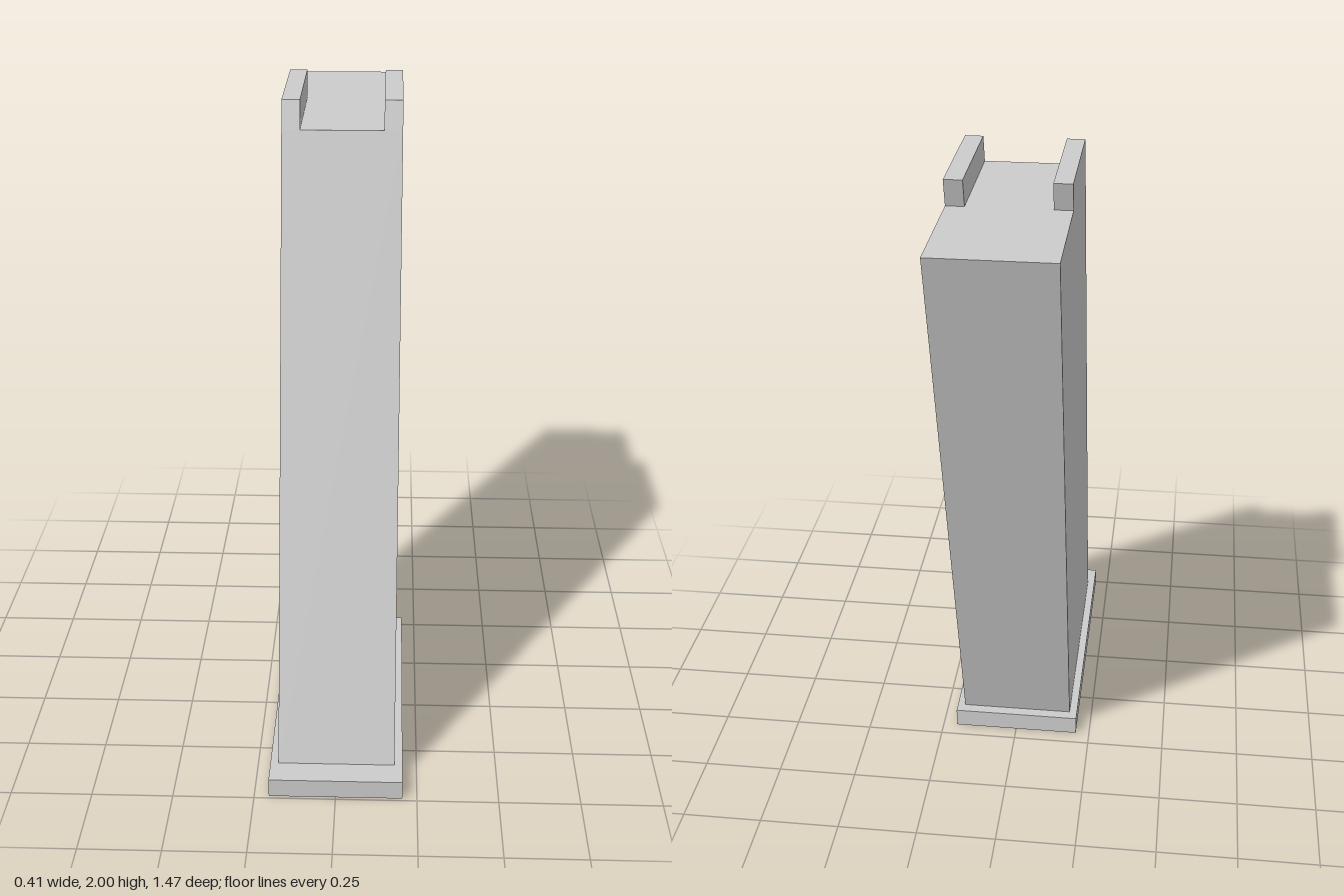
import * as THREE from 'three';

export function createModel() {
  const model = new THREE.Group();
  const grey = new THREE.MeshStandardMaterial({ color: 0xcccccc });
  grey.name = 'light grey';

  const add = (name, geometry) => {
    const mesh = new THREE.Mesh(geometry, grey);
    mesh.name = name;
    model.add(mesh);
    return mesh;
  };

  // Extrude a [z, y] side profile across x, centred on x = 0
  const sideExtrude = (points, width) => {
    const shape = new THREE.Shape(points.map(([z, y]) => new THREE.Vector2(z, y)));
    return new THREE.ExtrudeGeometry(shape, { depth: width, bevelEnabled: false })
      .translate(0, 0, -width / 2)
      .rotateY(-Math.PI / 2);
  };

  const baseTop = 0.06, deck = 1.915, top = 2;
  const lean = 0.307;
  const front = (y) => 0.655 - lean * (y - baseTop);
  const back = (y) => -0.165 - lean * (y - baseTop);

  // Flat base plate, wider than the body
  add('basePlate', new THREE.BoxGeometry(0.41, baseTop, 0.94)).position.set(0, baseTop / 2, 0.27);

  // Slanted body
  add('body', sideExtrude([
    [front(baseTop), baseTop], [front(deck), deck],
    [back(deck), deck], [back(baseTop), baseTop],
  ], 0.36));

  // Two raised lips along the front part of the top
  const lipLength = 0.418, lipWidth = 0.055;
  for (const [side, name] of [[1, 'leftLip'], [-1, 'rightLip']]) {
    add(name, sideExtrude([
      [front(deck), deck], [front(top), top],
      [front(top) - lipLength, top], [front(deck) - lipLength, deck],
    ], lipWidth)).position.x = side * (0.18 - lipWidth / 2);
  }

  return model;
}
